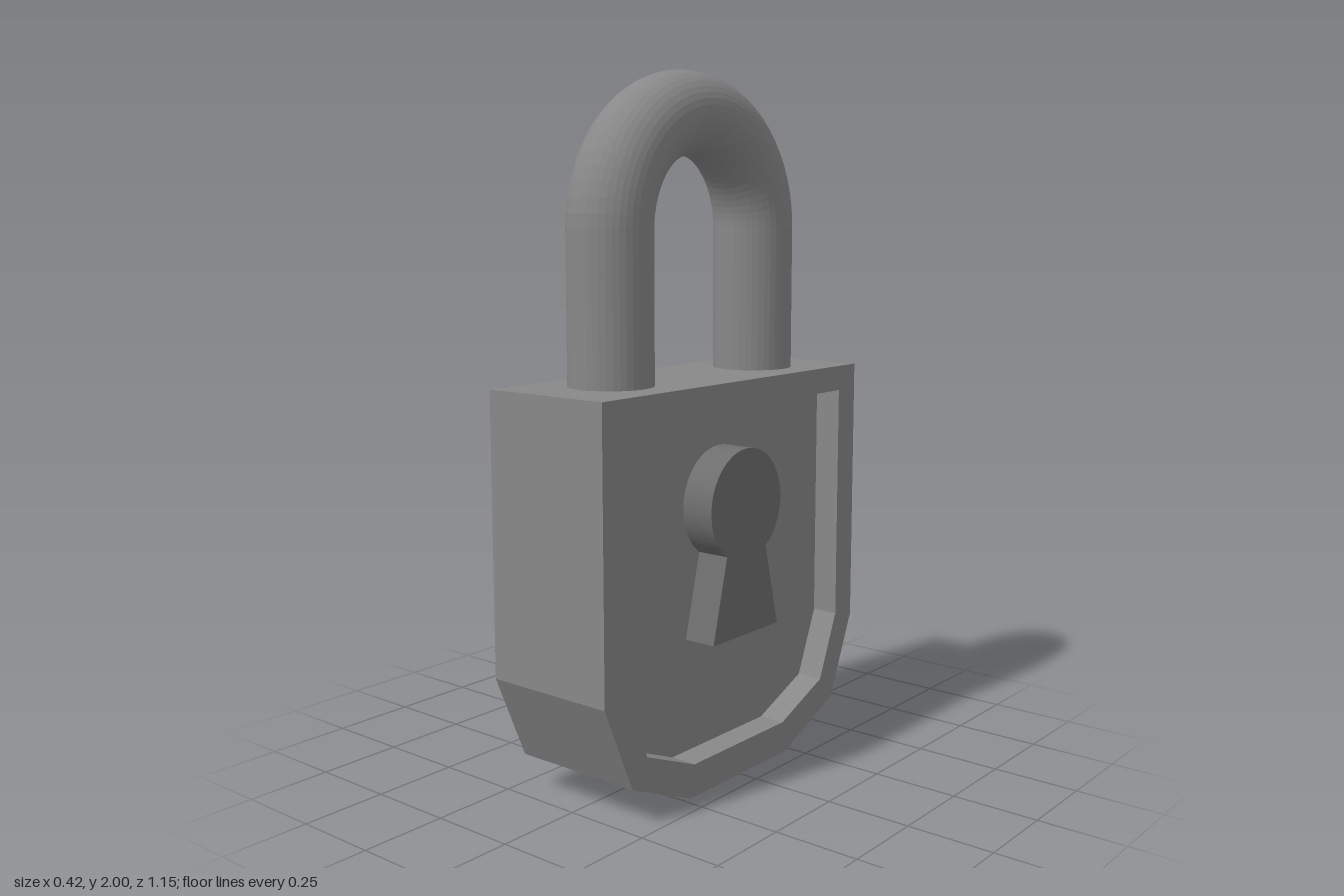
import * as THREE from 'three';

const steel = new THREE.MeshStandardMaterial({ color: 0x888888, flatShading: true });
const dark = new THREE.MeshStandardMaterial({ color: 0x6e6e6e, flatShading: true });

function addMesh(parent, name, geometry, material = steel) {
  const mesh = new THREE.Mesh(geometry, material);
  mesh.name = name;
  parent.add(mesh);
  return mesh;
}

// Mirrors one half of an outline (top to bottom) into closed points, counter-clockwise
function mirrored(half) {
  const right = half.map(([x, y]) => new THREE.Vector2(x, y));
  const left = half.map(([x, y]) => new THREE.Vector2(-x, y));
  return [...left, ...right.reverse()];
}

// Extrudes an upright outline along x, from x0 to x1
function extrudeX(shape, x0, x1) {
  const geometry = new THREE.ExtrudeGeometry(shape, {
    depth: x1 - x0, bevelEnabled: false, curveSegments: 40,
  });
  geometry.rotateY(Math.PI / 2).translate(x0, 0, 0);
  return geometry;
}

export function createModel() {
  const group = new THREE.Group();
  group.name = 'padlock';

  const back = -0.21, floor = 0.112, face = 0.192, keyFace = 0.211;
  const outer = mirrored([[0.575, 1.147], [0.575, 0.352], [0.47, 0.105], [0.225, 0]]);
  const inner = mirrored([[0.49, 1.073], [0.49, 0.37], [0.41, 0.178], [0.21, 0.095]]);

  // Body: a solid slab with a raised rim around the recessed panel
  addMesh(group, 'body', extrudeX(new THREE.Shape(outer), back, floor));
  const rim = new THREE.Shape(outer);
  rim.holes.push(new THREE.Path(inner));
  addMesh(group, 'rim', extrudeX(rim, floor, face));

  // Raised keyhole: round head with a flared foot
  const headY = 0.798, headR = 0.161, neck = 0.09;
  const angle = Math.acos(neck / headR);
  const keyhole = new THREE.Shape();
  keyhole.moveTo(-0.15, 0.423);
  keyhole.lineTo(0.15, 0.423);
  keyhole.lineTo(neck, headY - headR * Math.sin(angle));
  keyhole.absarc(0, headY, headR, -angle, Math.PI + angle, false);
  keyhole.closePath();
  addMesh(group, 'keyhole', extrudeX(keyhole, floor, keyFace), dark);

  // Shackle: two straight legs joined by a half ring
  const shackle = new THREE.Group();
  shackle.name = 'shackle';
  shackle.position.x = -0.011;
  group.add(shackle);
  const tube = 0.118, bend = 0.317, bottom = 1.14, springY = 2 - tube - bend;
  for (const side of [-1, 1]) {
    const leg = addMesh(shackle, side > 0 ? 'frontLeg' : 'backLeg',
      new THREE.CylinderGeometry(tube, tube, springY - bottom, 40, 1, true));
    leg.position.set(0, (springY + bottom) / 2, side * bend);
  }
  const arch = addMesh(shackle, 'arch', new THREE.TorusGeometry(bend, tube, 40, 32, Math.PI));
  arch.rotation.y = Math.PI / 2;
  arch.position.y = springY;

  return group;
}
